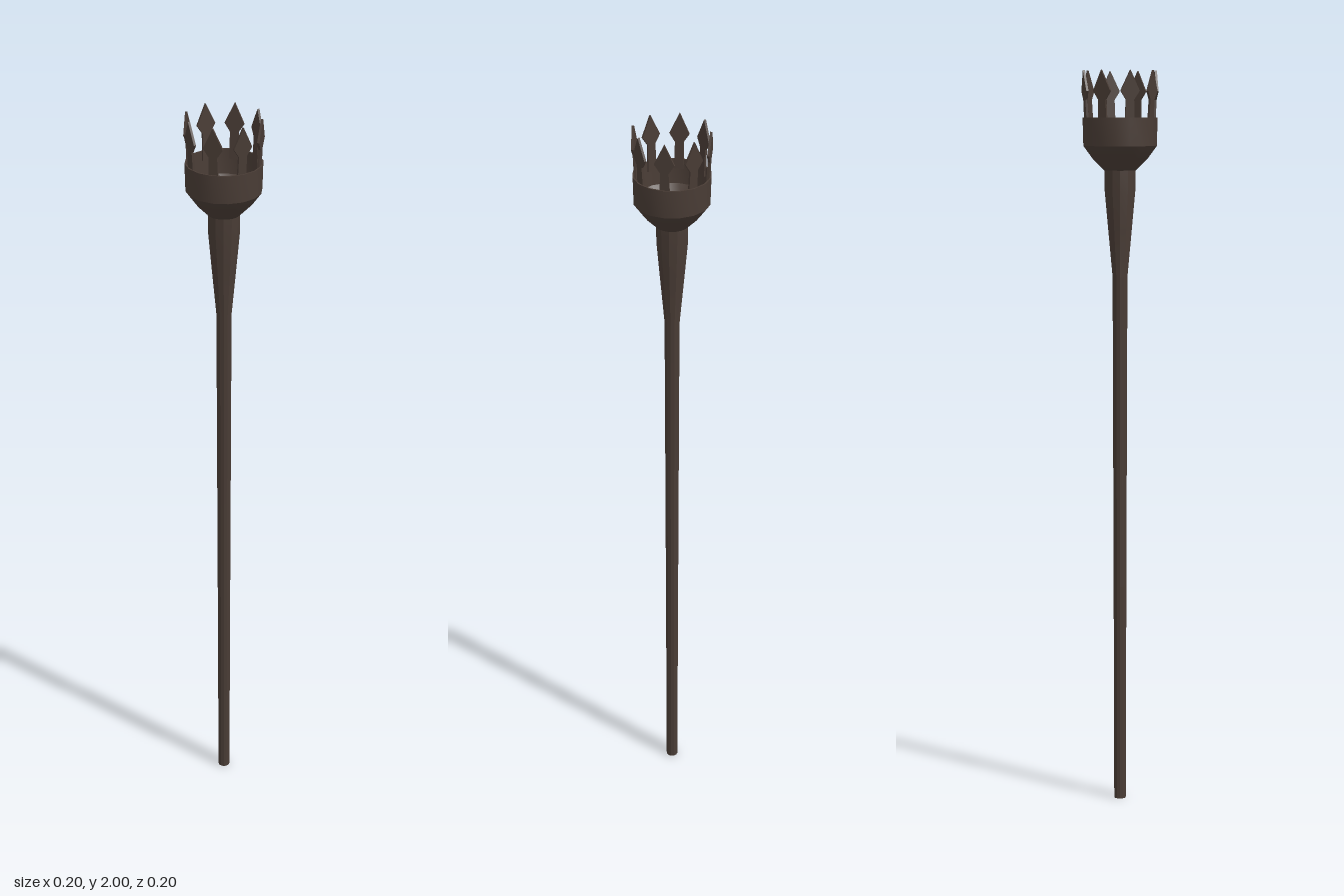
import * as THREE from 'three';
import { toCreasedNormals } from 'three/addons/utils/BufferGeometryUtils.js';

export function createModel() {
  const model = new THREE.Group();
  model.name = 'torch';
  const iron = new THREE.MeshStandardMaterial({ color: 0x493c35 });
  iron.name = 'dark brown iron';

  const add = (name, geometry, parent = model) => {
    const mesh = new THREE.Mesh(geometry, iron);
    mesh.name = name;
    parent.add(mesh);
    return mesh;
  };
  const lathe = (points, sides) => toCreasedNormals(
    new THREE.LatheGeometry(points.map(([r, y]) => new THREE.Vector2(r, y)), sides), 0.5);

  // Slim shaft flaring into a collar under the cup
  add('shaft', lathe([
    [0, 0], [0.016, 0], [0.0175, 0.6], [0.02, 1.45],
    [0.032, 1.58], [0.041, 1.68], [0.042, 1.745], [0, 1.745],
  ], 12));

  // Hollow cup with a thin wall and flat floor
  add('cup', lathe([
    [0, 1.735], [0.043, 1.735], [0.074, 1.766], [0.099, 1.8], [0.101, 1.875],
    [0.097, 1.875], [0.093, 1.808], [0.056, 1.765], [0, 1.765],
  ], 16));

  // Spear-shaped plate: stem widening to a pointed head
  const outline = new THREE.Shape([
    [-0.013, 0], [0.013, 0], [0.011, 0.072], [0.026, 0.095],
    [0, 0.15], [-0.026, 0.095], [-0.011, 0.072],
  ].map(([x, y]) => new THREE.Vector2(x, y)));
  const spike = new THREE.ExtrudeGeometry(outline, { depth: 0.006, bevelEnabled: false });
  spike.translate(0, 0, -0.003);

  // Crown of eight spikes, leaning slightly outward
  const crown = new THREE.Group();
  crown.name = 'crown';
  model.add(crown);
  for (let i = 0; i < 8; i++) {
    const arm = new THREE.Group();
    arm.name = 'spikeArm';
    arm.rotation.y = i * Math.PI / 4;
    crown.add(arm);
    const blade = add('spike', spike, arm);
    blade.position.set(0, 1.85, 0.092);
    blade.rotation.x = 0.05;
  }
  return model;
}
